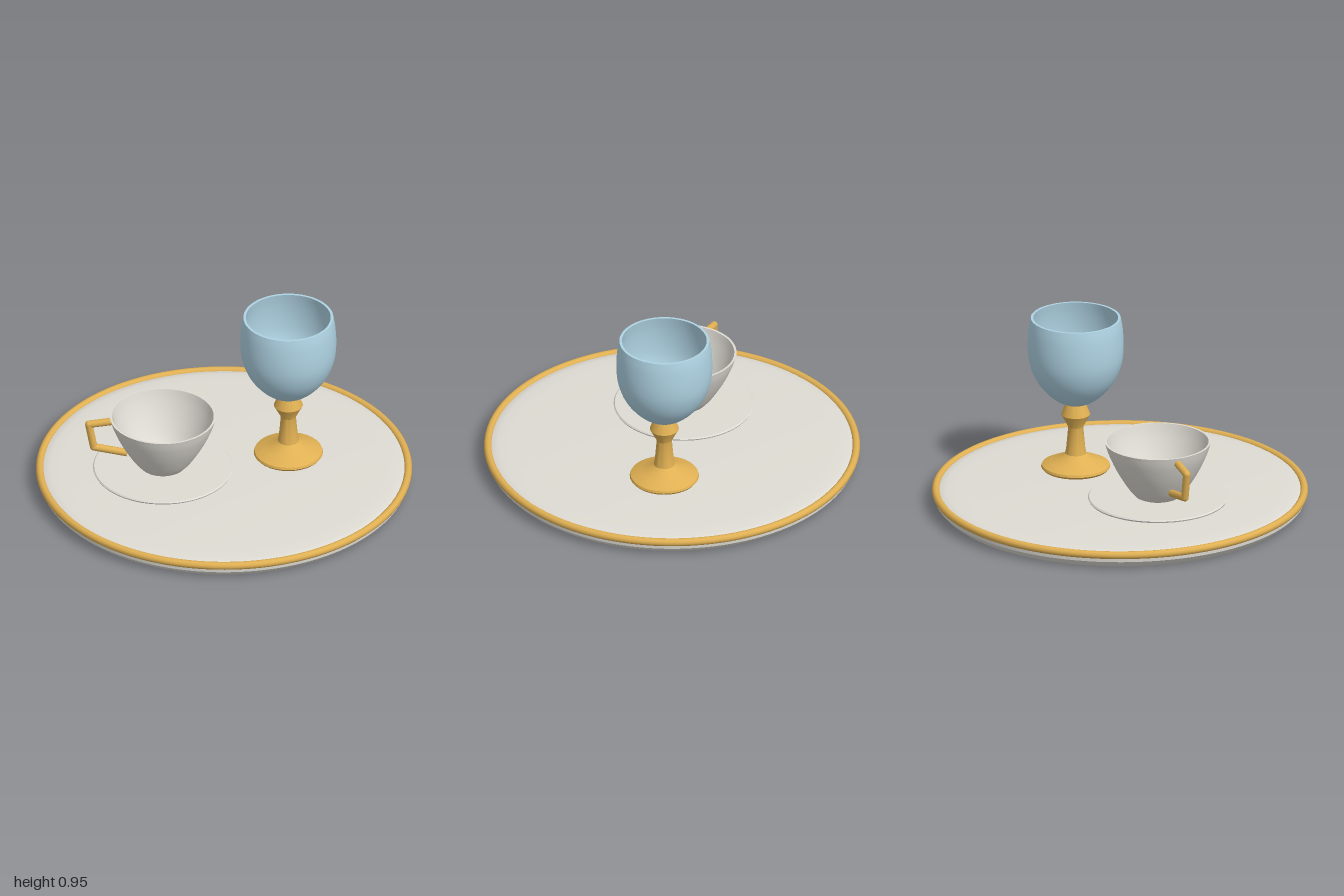
import * as THREE from 'three';
import { toCreasedNormals } from 'three/addons/utils/BufferGeometryUtils.js';

const material = (name, color) => {
  const m = new THREE.MeshStandardMaterial({ color });
  m.name = name;
  return m;
};

const toPoints = (pairs) => pairs.map(([r, y]) => new THREE.Vector2(r, y));
const smooth = (pairs, n = 18) =>
  new THREE.SplineCurve(toPoints(pairs)).getPoints(n).map((p) => [Math.max(p.x, 0), p.y]);

export function createModel() {
  const porcelain = material('porcelain', 0xdedbd3);
  const gold = material('gold', 0xe0b053);
  const glass = material('blue glass', 0xaed2e2);

  const model = new THREE.Group();
  model.name = 'servingTray';

  function add(parent, name, geometry, mat) {
    const mesh = new THREE.Mesh(geometry, mat);
    mesh.name = name;
    parent.add(mesh);
    return mesh;
  }
  // Turned part: profile of [radius, height] runs up the outside, then back to the axis
  function turned(parent, name, profile, mat, segments = 64, crease = 0.6) {
    const lathe = new THREE.LatheGeometry(toPoints(profile), segments);
    return add(parent, name, toCreasedNormals(lathe, crease), mat);
  }
  function group(name, x, z) {
    const g = new THREE.Group();
    g.name = name;
    g.position.set(x, 0, z);
    model.add(g);
    return g;
  }

  // Tray with gold rim
  turned(model, 'trayPlate', [
    [0, 0], [0.94, 0], [0.96, 0.014], [0.983, 0.04], [0.985, 0.07],
    [0.965, 0.084], [0.92, 0.09], [0.85, 0.094], [0, 0.095],
  ], porcelain, 96);
  const rim = add(model, 'trayRim', new THREE.TorusGeometry(0.978, 0.021, 12, 96), gold);
  rim.rotation.x = Math.PI / 2;
  rim.position.y = 0.078;

  // Cup and saucer
  const cup = group('cupAndSaucer', -0.325, 0.08);
  turned(cup, 'saucer', [
    [0, 0.094], [0.26, 0.1], [0.367, 0.13], [0.371, 0.138], [0.365, 0.145], [0, 0.143],
  ], porcelain);
  turned(cup, 'cupBody', [
    [0, 0.143], [0.1, 0.143],
    ...smooth([[0.12, 0.152], [0.16, 0.2], [0.218, 0.295], [0.262, 0.39], [0.282, 0.455]]),
    ...smooth([[0.27, 0.455], [0.25, 0.39], [0.206, 0.295], [0.147, 0.205], [0.09, 0.168], [0, 0.16]]),
  ], porcelain);

  // Angular handle: straight rods joined by round corners
  const handle = new THREE.Group();
  handle.name = 'cupHandle';
  cup.add(handle);
  const corners = [[-0.262, 0.423], [-0.393, 0.404], [-0.367, 0.263], [-0.19, 0.226]]
    .map(([x, y]) => new THREE.Vector3(x, y, 0));
  for (let i = 0; i < corners.length - 1; i++) {
    const [a, b] = [corners[i], corners[i + 1]];
    const dir = b.clone().sub(a);
    const rod = add(handle, 'handleRod', new THREE.CylinderGeometry(0.02, 0.02, dir.length(), 12), gold);
    rod.position.copy(a).add(b).multiplyScalar(0.5);
    rod.quaternion.setFromUnitVectors(new THREE.Vector3(0, 1, 0), dir.normalize());
    if (i > 0) add(handle, 'handleCorner', new THREE.SphereGeometry(0.02, 12, 8), gold).position.copy(a);
  }

  // Goblet
  const goblet = group('goblet', 0.342, -0.11);
  turned(goblet, 'gobletStem', [
    [0, 0.095], [0.174, 0.098], [0.184, 0.11], [0.18, 0.122], [0.13, 0.145], [0.075, 0.168],
    [0.056, 0.185], [0.05, 0.22], [0.04, 0.335], [0.077, 0.405], [0.053, 0.468], [0, 0.48],
  ], gold, 32);
  turned(goblet, 'gobletBowl', [
    [0, 0.464], [0.045, 0.465],
    ...smooth([[0.06, 0.469], [0.11, 0.495], [0.165, 0.545], [0.215, 0.615], [0.246, 0.7],
      [0.255, 0.79], [0.25, 0.89], [0.239, 0.952]], 24),
    ...smooth([[0.225, 0.952], [0.236, 0.88], [0.24, 0.79], [0.231, 0.7], [0.2, 0.622],
      [0.15, 0.555], [0.09, 0.505], [0, 0.488]], 24),
  ], glass);
  add(goblet, 'bowlKnob', new THREE.SphereGeometry(0.075, 32, 20), gold).position.y = 0.522;

  return model;
}
